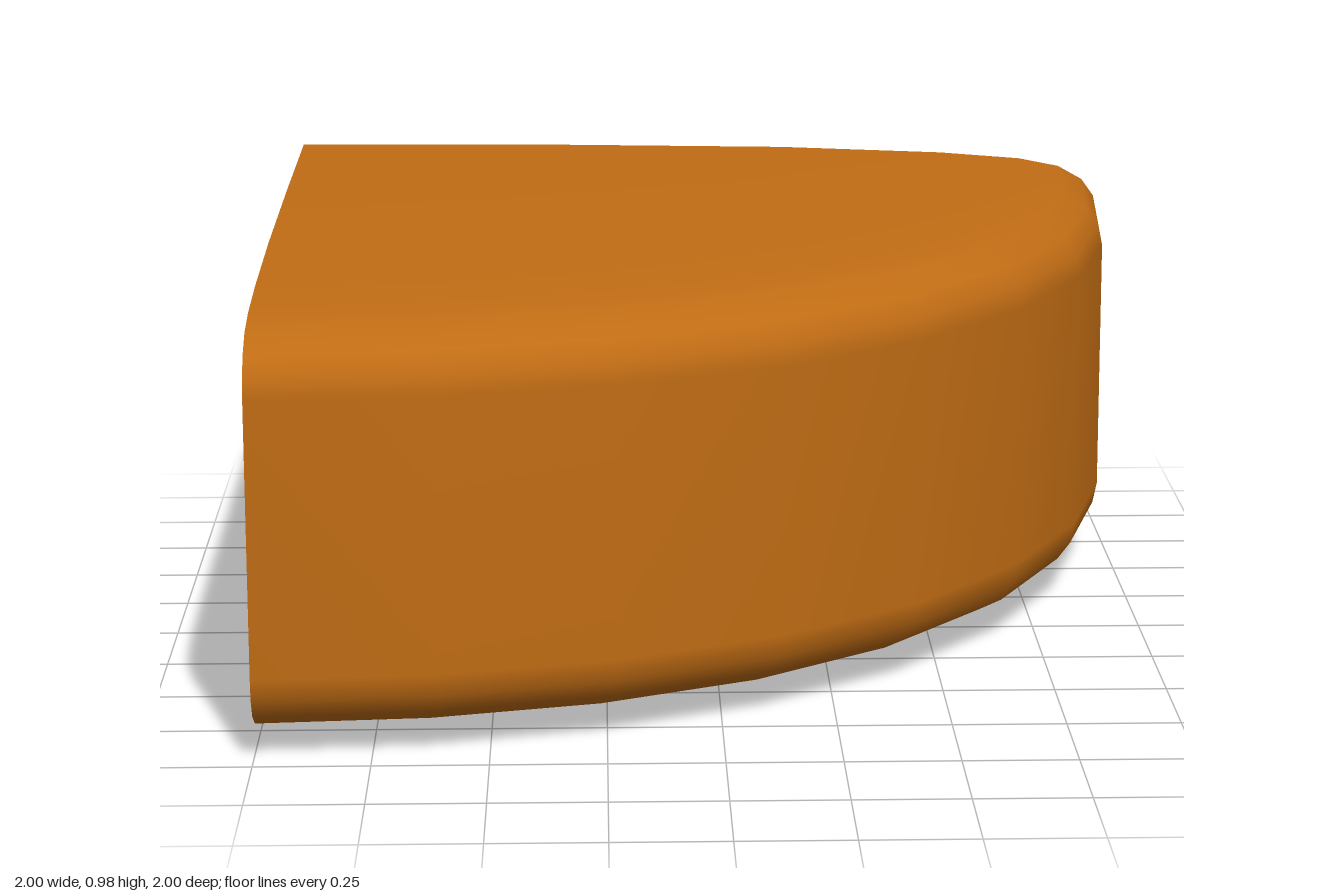
import * as THREE from 'three';

const HEIGHT = 0.98;
const rindMaterial = new THREE.MeshStandardMaterial({ color: 0xc06c14 });
const pasteMaterial = new THREE.MeshStandardMaterial({ color: 0xf0b800 });

// Wheel profile (radius, height) from the bottom centre to the top centre
const lower = [[0, 0], [0.6, 0.003], [1.2, 0.012], [1.6, 0.028], [1.8, 0.044], [1.9, 0.064], [1.96, 0.098], [1.99, 0.14], [2, 0.19]];
const upper = lower.map(([r, y]) => [r, HEIGHT - y]).reverse();
const profile = [...lower, ...upper].map(([r, y]) => new THREE.Vector2(r, y));

// Arc running from angle a to angle b, measured from the +x axis
function arc(radius, a, b, steps) {
  return Array.from({ length: steps + 1 }, (_, i) => {
    const t = a + ((b - a) * i) / steps;
    return new THREE.Vector2(radius * Math.cos(t), radius * Math.sin(t));
  });
}

// Half-round bite in the sharp edge of the wedge
const NOTCH_Y = 0.49;
const notchArc = arc(0.13, Math.PI / 2, -Math.PI / 2, 6);

function addMesh(parent, name, geometry, material) {
  const mesh = new THREE.Mesh(geometry, material);
  mesh.name = name;
  parent.add(mesh);
  return mesh;
}

// Quarter wheel whose radius swells slightly midway between the cut sides
function createRindGeometry() {
  const geometry = new THREE.LatheGeometry(profile, 8, 0, Math.PI / 2);
  const position = geometry.attributes.position;
  for (let i = 0; i < position.count; i++) {
    const x = position.getX(i);
    const z = position.getZ(i);
    const swell = 1 + 0.025 * Math.sin(2 * Math.atan2(x, z)) ** 2;
    position.setX(i, x * swell);
    position.setZ(i, z * swell);
  }
  return geometry;
}

// Flat cut side with octagonal openings and a bowl behind each one.
// holes: [distance from tip, height, radius]; side mirrors the outline.
function createCutSide(name, side, angle, holes) {
  const group = new THREE.Group();
  group.name = name;
  const outline = [...profile, ...notchArc.map((p) => new THREE.Vector2(p.x, p.y + NOTCH_Y))];
  const shape = new THREE.Shape(outline.map((p) => new THREE.Vector2(side * p.x, p.y)));

  for (const [u, y, r] of holes) {
    const rim = arc(r, 0, Math.PI * 2, 8).slice(0, 8);
    shape.holes.push(new THREE.Path(rim.map((p) => new THREE.Vector2(side * u + p.x, y + p.y))));
    const bowl = new THREE.LatheGeometry(arc(r, 0, -Math.PI / 2, 4), 8);
    bowl.rotateX(Math.PI / 2);
    addMesh(group, 'cheeseHole', bowl, pasteMaterial).position.set(side * u, y, 0);
  }
  addMesh(group, 'cutFace', new THREE.ShapeGeometry(shape), pasteMaterial);
  group.rotation.y = angle;
  return group;
}

export function createModel() {
  const wedge = new THREE.Group();
  wedge.name = 'cheeseWedge';

  // Rind, with the tip of the wedge at the group's origin
  addMesh(wedge, 'rind', createRindGeometry(), rindMaterial);

  // Two cut sides
  wedge.add(createCutSide('backCutSide', -1, Math.PI, [[1.425, 0.4, 0.19], [0.575, 0.66, 0.138]]));
  wedge.add(createCutSide('rightCutSide', 1, -Math.PI / 2, [[0.845, 0.38, 0.17], [1.545, 0.67, 0.132]]));

  // Hollow where a hole breaks through the tip
  const notch = new THREE.LatheGeometry(notchArc, 2, 0, Math.PI / 2);
  addMesh(wedge, 'tipHole', notch, pasteMaterial).position.y = NOTCH_Y;

  wedge.position.set(-1, 0, -1);
  const model = new THREE.Group();
  model.name = 'cheese';
  model.add(wedge);
  return model;
}
